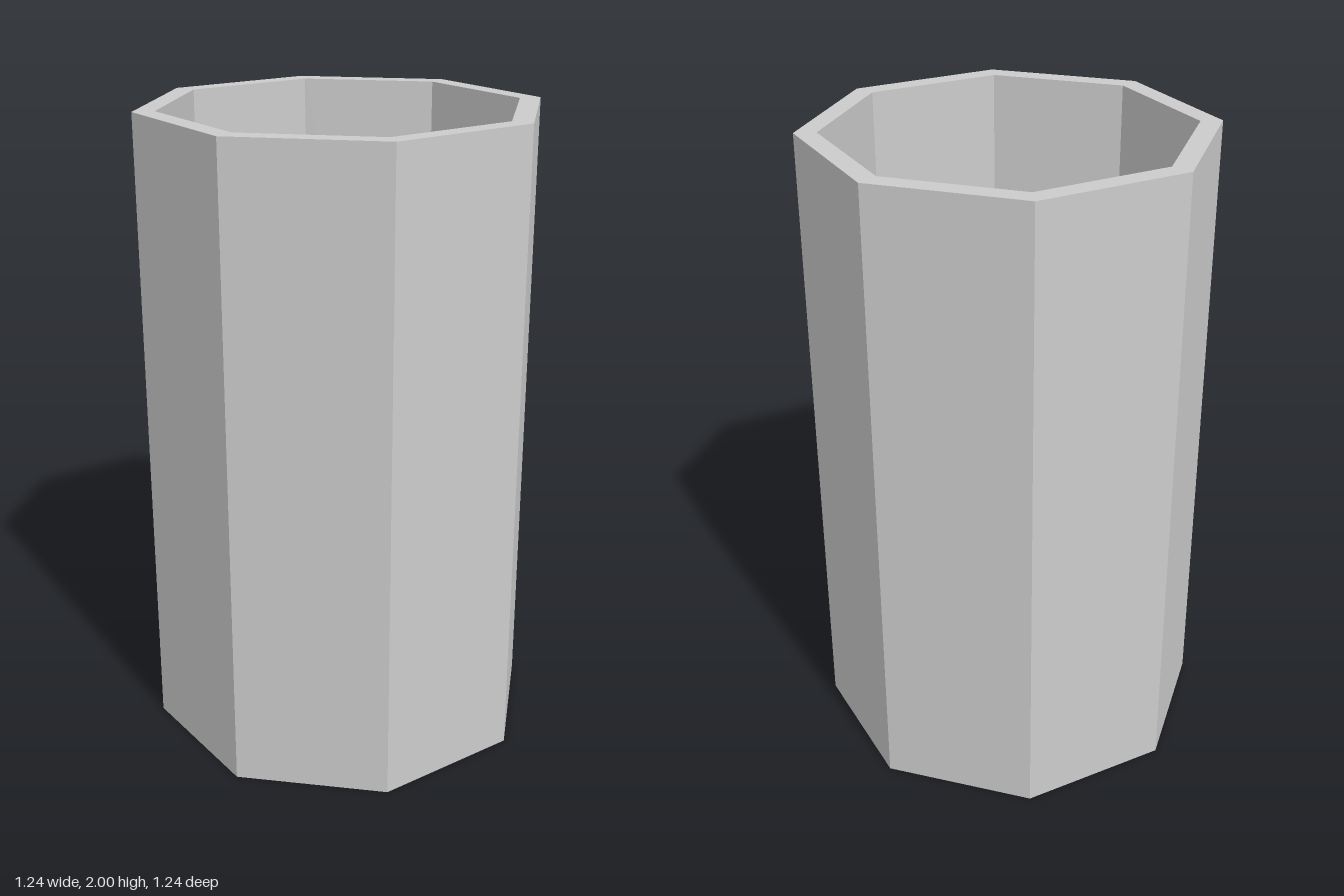
import * as THREE from 'three';

const SIDES = 8;
const HEIGHT = 2;
const OUTER = 0.622;
const INNER = 0.555;
const FLOOR = 0.067;

export function createModel() {
  const group = new THREE.Group();
  group.name = 'octagonalCup';

  // Closed profile: underside, outer wall, rim, inner wall, inside floor
  const profile = [
    [0, 0], [OUTER, 0], [OUTER, HEIGHT],
    [INNER, HEIGHT], [INNER, FLOOR], [0, FLOOR],
  ].map(([r, y]) => new THREE.Vector2(r, y));

  const cup = new THREE.Mesh(
    new THREE.LatheGeometry(profile, SIDES),
    new THREE.MeshStandardMaterial({ color: 0xcccccc, flatShading: true })
  );
  cup.name = 'cupBody';
  group.add(cup);

  return group;
}
